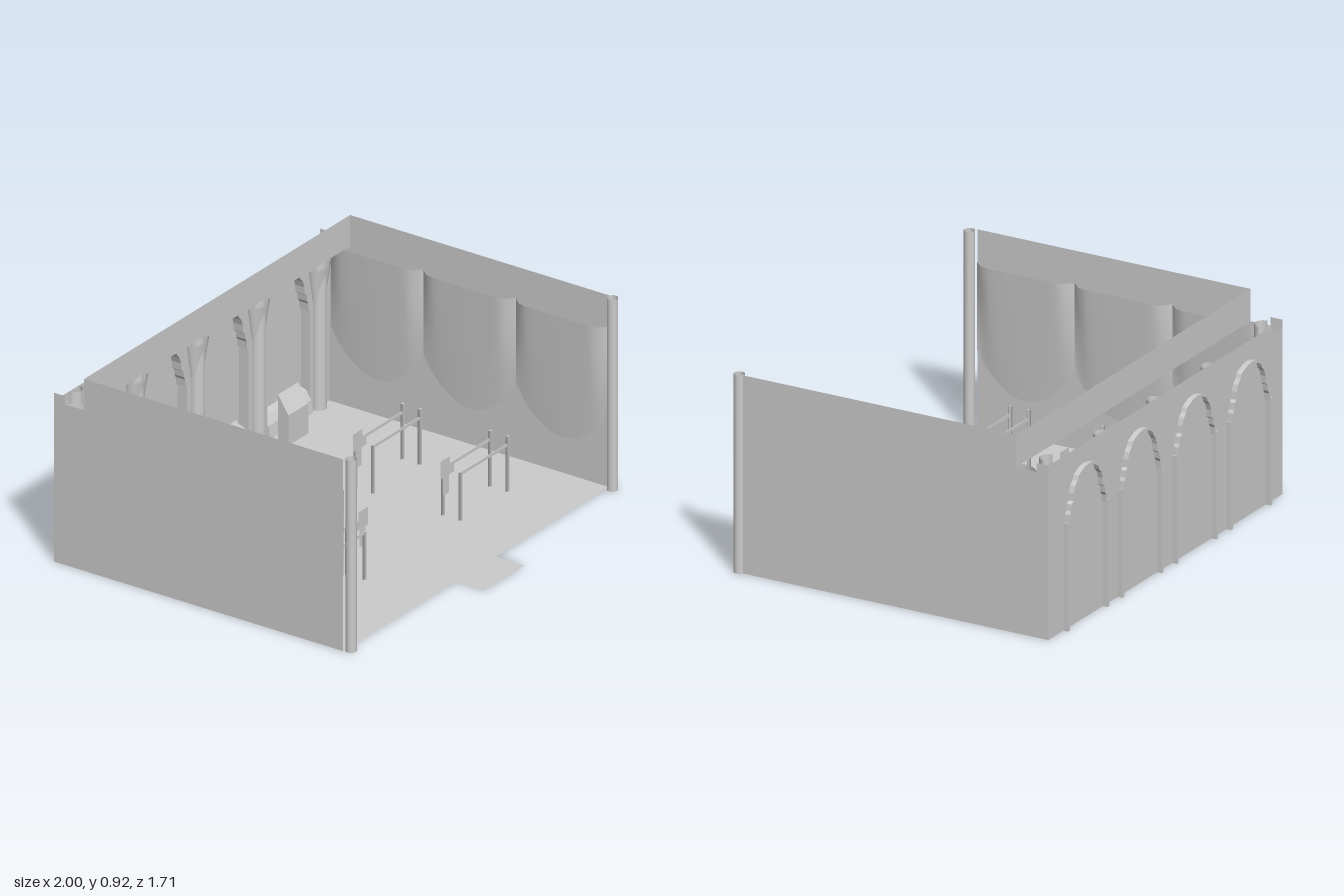
import * as THREE from 'three';

const mat = new THREE.MeshStandardMaterial({ color: 0xcccccc, side: THREE.DoubleSide });
const WALL_Z = -0.83, PANEL_Z = -0.78, HALF = 0.9925;

function add(parent, name, geometry, x = 0, y = 0, z = 0) {
  const mesh = new THREE.Mesh(geometry, mat);
  mesh.name = name;
  mesh.position.set(x, y, z);
  parent.add(mesh);
  return mesh;
}

const shapeOf = (pts) => new THREE.Shape(pts.map(([x, y]) => new THREE.Vector2(x, y)));
const extrude = (shape, depth) => new THREE.ExtrudeGeometry(shape, { depth, bevelEnabled: false });

// Half outline of the lobed arch, from the floor to the crown
const archHalf = [[0.16, 0], [0.16, 0.49], [0.15, 0.488], [0.147, 0.525], [0.138, 0.54], [0.134, 0.57],
  [0.12, 0.58], [0.117, 0.615], [0.107, 0.645], [0.088, 0.665], [0.08, 0.685], [0.055, 0.698], [0.03, 0.708], [0, 0.712]];

function archOutline(grow, cx = 0) {
  const right = archHalf.map(([x, y]) => [x * (1 + grow / 0.16), y + (y > 0 ? grow * 0.7 : 0)]);
  const left = right.slice(0, -1).reverse().map(([x, y]) => [-x, y]);
  return [...right, ...left].map(([x, y]) => [x + cx, y]);
}

// Side wall in the yz plane
function sideWall(parent, side) {
  const shape = shapeOf([[-0.7, 0], [-WALL_Z, 0], [-WALL_Z, 0.77], [0.67, 0.77], [0.67, 0.92], [-0.7, 0.92]]);
  const wall = add(parent, 'sideWall', new THREE.ShapeGeometry(shape), side * HALF);
  wall.rotation.y = Math.PI / 2;
  // short upstand at the back corner
  const upstand = add(parent, 'cornerUpstand', new THREE.PlaneGeometry(0.06, 0.05), side * HALF, 0.785, -0.8);
  upstand.rotation.y = Math.PI / 2;
}

// Hanging cloth: stands off the wall at the top, tapers to it at the scalloped hem
function drapeGeometry(side, z0, z1) {
  const geo = new THREE.PlaneGeometry(1, 1, 12, 4);
  const p = geo.attributes.position;
  for (let i = 0; i < p.count; i++) {
    const u = p.getX(i) + 0.5, v = p.getY(i) + 0.5;
    const hem = 0.36 - 0.19 * Math.pow(Math.sin(Math.PI * u), 0.8);
    const stand = 0.045 * Math.min(1, Math.min(u, 1 - u) / 0.1) * v;
    p.setXYZ(i, side * (HALF - 0.003 - stand), hem + (0.77 - hem) * v, z0 + (z1 - z0) * u);
  }
  geo.computeVertexNormals();
  return geo;
}

// One barrier: triangular posts, two rails and a plate at the inner end
function barrier(side, z) {
  const g = new THREE.Group();
  g.name = 'barrier';
  for (const dz of [-0.046, 0.046]) {
    for (const [x, h] of [[0.3575, 0.23], [0.7075, 0.265]]) {
      const post = add(g, 'post', new THREE.CylinderGeometry(0.015, 0.015, h, 3), side * x, h / 2, z + dz);
      post.scale.z = 0.55;
    }
    add(g, 'rail', new THREE.BoxGeometry(0.35, 0.014, 0.004), side * 0.5325, 0.222, z + dz);
  }
  const plate = shapeOf([[0.288, 0.13], [0.333, 0.13], [0.333, 0.215], [0.373, 0.215], [0.373, 0.26],
    [0.343, 0.26], [0.343, 0.3], [0.27, 0.3], [0.27, 0.215], [0.288, 0.215]].map(([x, y]) => [side * x, y]));
  add(g, 'plate', new THREE.ShapeGeometry(plate), 0, 0, z);
  return g;
}

export function createModel() {
  const model = new THREE.Group();
  model.name = 'arcadeHall';
  const hall = new THREE.Group();
  hall.name = 'hall';
  hall.position.x = -0.0075;
  model.add(hall);

  // Floor with entrance tongue
  const floor = shapeOf([[-HALF, WALL_Z], [HALF, WALL_Z], [HALF, 0.7], [0.152, 0.7], [0.152, 0.85],
    [-0.152, 0.85], [-0.152, 0.7], [-HALF, 0.7]].map(([x, z]) => [x, -z]));
  add(hall, 'floor', new THREE.ShapeGeometry(floor)).rotation.x = -Math.PI / 2;

  // Back wall and the frieze in front of it
  add(hall, 'backWall', new THREE.PlaneGeometry(HALF * 2, 0.77), 0, 0.385, WALL_Z);
  add(hall, 'frieze', new THREE.PlaneGeometry(HALF * 2, 0.15), 0, 0.845, -0.67);

  // Side walls, drapes, barriers
  for (const side of [-1, 1]) {
    sideWall(hall, side);
    for (let i = 0; i < 3; i++) {
      const z0 = -0.77 + i * 0.49;
      add(hall, 'drape', drapeGeometry(side, z0, z0 + 0.49));
    }
    for (const z of [-0.143, 0.32]) hall.add(barrier(side, z));
    // rounded post at the front end of each wall
    add(model, 'frontPost', new THREE.CylinderGeometry(0.025, 0.025, 0.92, 16, 1, true), side * 0.975, 0.46, 0.725);
  }

  // Arcade panel with four lobed openings
  const centres = [-0.69, -0.23, 0.23, 0.69];
  const outline = [[-HALF, 0]];
  for (const cx of centres) outline.push(...archOutline(0, cx).reverse());
  outline.push([HALF, 0], [HALF, 0.77], [-HALF, 0.77]);
  add(hall, 'arcadePanel', new THREE.ShapeGeometry(shapeOf(outline)), 0, 0, PANEL_Z);

  // Sloped-top display stand and arch sill, as side profiles
  const standProfile = shapeOf([[0.665, 0], [0.72, 0], [0.72, 0.23], [0.665, 0.145]]);
  const sillProfile = shapeOf([[0.765, 0], [0.829, 0], [0.829, 0.11], [0.80, 0.10], [0.775, 0.06]]);

  for (const cx of centres) {
    // arch frame running through the wall
    const ring = shapeOf([...archOutline(0.014), ...archOutline(0).reverse()]);
    add(hall, 'archFrame', extrude(ring, 0.075), cx, 0, -0.855);
    add(hall, 'archSill', extrude(sillProfile, 0.32), cx - 0.16).rotation.y = Math.PI / 2;
    add(hall, 'displayStand', extrude(standProfile, 0.15), cx - 0.165).rotation.y = Math.PI / 2;
  }

  // Half-round columns between the arches, with flared capitals
  for (let i = 0; i < 5; i++) {
    const x = (i - 2) * 0.455;
    const top = i % 4 === 0 ? 0.81 : 0.77;
    add(hall, 'column', new THREE.CylinderGeometry(0.038, 0.038, top, 16, 1, true, -Math.PI / 2, Math.PI), x, top / 2, PANEL_Z);
    const flare = add(hall, 'capital',
      new THREE.CylinderGeometry(0.072, 0.04, 0.16, 16, 1, true, -Math.PI / 2, Math.PI), x, 0.6, PANEL_Z);
    flare.scale.z = 0.6;
  }
  return model;
}
